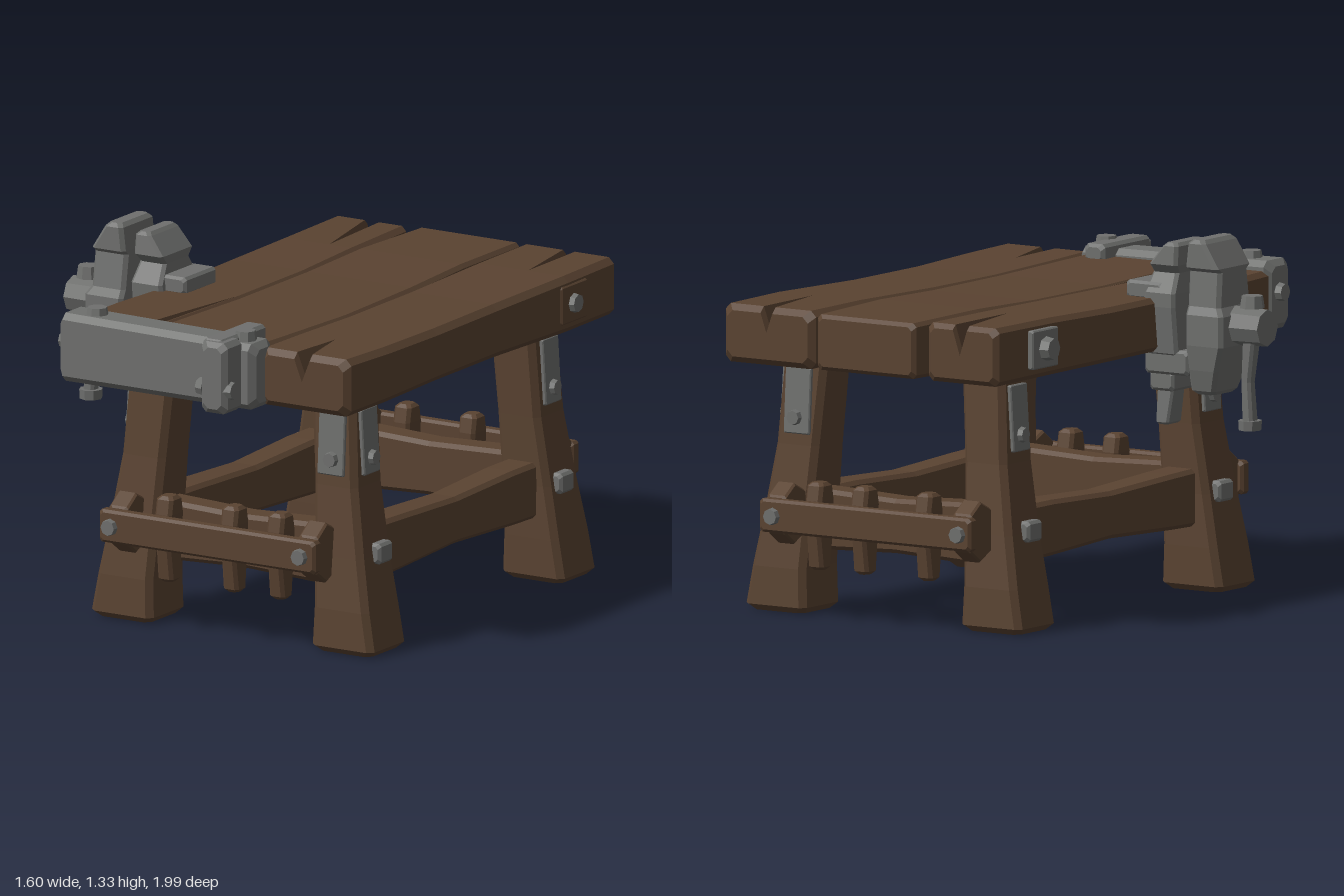
import * as THREE from 'three';

const wood = new THREE.MeshStandardMaterial({ color: 0x5a4331 });
wood.name = 'wood';
const metal = new THREE.MeshStandardMaterial({ color: 0x6f706e });
metal.name = 'metal';

// Maps (along, u, v) to x, y, z for a beam running along each axis
const place = {
  x: (t, u, v) => [t, u, v],
  y: (t, u, v) => [v, t, u],
  z: (t, u, v) => [u, v, t],
};

// Chamfered rectangle, with an optional V-shaped crack in its top edge
function ring([t, u0, u1, v0, v1, n, w, d], c, inset) {
  u0 += inset; u1 -= inset; v0 += inset; v1 -= inset;
  const pts = [[u0 + c, v0], [u1 - c, v0], [u1, v0 + c], [u1, v1 - c], [u1 - c, v1]];
  if (n !== undefined) pts.push([n + w, v1], [n, v1 - d], [n - w, v1]);
  pts.push([u0 + c, v1], [u0, v1 - c], [u0, v0 + c]);
  return { t, pts };
}

// Beam through sections [along, u0, u1, v0, v1, crack, crackWidth, crackDepth], all edges chamfered
function beam(name, mat, axis, sections, c = 0.015) {
  const first = sections[0], last = sections[sections.length - 1];
  const rings = [ring(first, c, c)];
  sections.forEach((s, i) => {
    const r = ring(s, c, 0);
    if (i === 0) r.t += c;
    if (i === sections.length - 1) r.t -= c;
    rings.push(r);
  });
  rings.push(ring(last, c, c));
  const pos = [];
  const put = (r, j) => pos.push(...place[axis](r.t, ...r.pts[j % r.pts.length]));
  for (let i = 0; i < rings.length - 1; i++) {
    const a = rings[i], b = rings[i + 1];
    for (let j = 0; j < a.pts.length; j++) {
      put(a, j); put(a, j + 1); put(b, j + 1);
      put(a, j); put(b, j + 1); put(b, j);
    }
  }
  const cap = (r, flip) => {
    const flat = r.pts.map((p) => new THREE.Vector2(...p));
    for (const [a, b, e] of THREE.ShapeUtils.triangulateShape(flat, [])) {
      put(r, a); put(r, flip ? e : b); put(r, flip ? b : e);
    }
  };
  cap(rings[0], true);
  cap(rings[rings.length - 1], false);
  const geo = new THREE.BufferGeometry();
  geo.setAttribute('position', new THREE.Float32BufferAttribute(pos, 3));
  geo.computeVertexNormals();
  const mesh = new THREE.Mesh(geo, mat);
  mesh.name = name;
  return mesh;
}

// Chamfered block from its limits
function block(name, mat, x0, x1, y0, y1, z0, z1, c = 0.01) {
  const [a, b] = z0 < z1 ? [z0, z1] : [z1, z0];
  return beam(name, mat, 'z', [[a, x0, x1, y0, y1], [b, x0, x1, y0, y1]], c);
}

// Faceted stud centred at a point, its narrow end facing dir
function stud(name, at, dir, r = 0.03, h = 0.03, sides = 8, taper = 0.85) {
  const geo = new THREE.CylinderGeometry(r * taper, r, h, sides).toNonIndexed();
  geo.computeVertexNormals();
  const mesh = new THREE.Mesh(geo, metal);
  mesh.position.set(...at);
  mesh.quaternion.setFromUnitVectors(new THREE.Vector3(0, 1, 0), new THREE.Vector3(...dir));
  mesh.name = name;
  return mesh;
}

function tabletop() {
  const g = new THREE.Group();
  g.name = 'tabletop';
  // x limits, y limits, then crack position, half width and depth
  g.add(beam('leftPlank', wood, 'z', [
    [-0.97, -0.41, -0.105, 0.91, 1.12, -0.25, 0.03, 0.09],
    [-0.6, -0.405, -0.095, 0.912, 1.117, -0.205, 0, 0],
    [-0.25, -0.41, -0.08, 0.915, 1.11, -0.2, 0, 0],
    [0.18, -0.4, -0.08, 0.915, 1.108, -0.1, 0, 0],
    [0.5, -0.41, -0.075, 0.912, 1.115, -0.112, 0.014, 0.04],
    [0.78, -0.4, -0.075, 0.91, 1.12, -0.12, 0.024, 0.08]], 0.018));
  g.add(beam('middlePlank', wood, 'z', [
    [-1, -0.075, 0.35, 0.915, 1.115],
    [-0.6, -0.085, 0.362, 0.91, 1.12],
    [-0.25, -0.085, 0.372, 0.915, 1.11],
    [0.2, -0.085, 0.385, 0.915, 1.108],
    [0.78, -0.085, 0.38, 0.91, 1.12]], 0.014));
  g.add(beam('rightPlank', wood, 'z', [
    [-0.99, 0.37, 0.76, 0.91, 1.12, 0.57, 0.025, 0.07],
    [-0.65, 0.375, 0.77, 0.912, 1.12, 0.6, 0, 0],
    [-0.2, 0.375, 0.755, 0.915, 1.11, 0.6, 0, 0],
    [0.2, 0.376, 0.76, 0.915, 1.108, 0.56, 0, 0],
    [0.54, 0.378, 0.77, 0.912, 1.115, 0.545, 0, 0],
    [0.8, 0.385, 0.765, 0.91, 1.12, 0.57, 0.032, 0.08]], 0.022));
  // Side plates with bolts
  g.add(block('rightPlate', wood, 0.75, 0.775, 0.95, 1.09, -0.77, -0.6, 0.005));
  g.add(stud('rightPlateBolt', [0.78, 1.02, -0.68], [1, 0, 0], 0.038, 0.03));
  g.add(block('leftPlate', metal, -0.43, -0.4, 0.95, 1.09, -0.77, -0.61, 0.005));
  g.add(stud('leftPlateBolt', [-0.445, 1.02, -0.69], [-1, 0, 0], 0.045, 0.04));
  return g;
}

const CX = 0.185, CZ = -0.08;

function legs() {
  const g = new THREE.Group();
  g.name = 'legs';
  // height, outer and inner z offset, outer and inner x offset
  const profile = [
    [0, 0.75, 0.51, 0.595, 0.335], [0.16, 0.745, 0.51, 0.57, 0.34], [0.35, 0.725, 0.515, 0.535, 0.33],
    [0.6, 0.7, 0.51, 0.495, 0.315], [0.93, 0.68, 0.5, 0.475, 0.29]];
  const span = (c, s, a, b) => [c + s * a, c + s * b].sort((p, q) => p - q);
  for (const sx of [-1, 1]) for (const sz of [-1, 1]) {
    g.add(beam('leg', wood, 'y', profile.map(([y, zo, zi, xo, xi]) =>
      [y, ...span(CZ, sz, zo, zi), ...span(CX, sx, xo, xi)]), 0.022));
    // Outer side plate, its bolt and the stretcher block
    const z = CZ + sz * 0.6;
    const plate = block('sidePlate', metal, -0.012, 0.012, -0.12, 0.12, -0.052, 0.052, 0.004);
    plate.position.set(CX + sx * 0.487, 0.76, z);
    plate.rotation.z = sx * 0.06;
    g.add(plate, stud('sidePlateBolt', [CX + sx * 0.508, 0.7, z], [sx, 0, 0], 0.03, 0.028));
    const [b0, b1] = span(CX, sx, 0.515, 0.565);
    g.add(block('stretcherBlock', metal, b0, b1, 0.32, 0.395, z - 0.045, z + 0.045));
    // Front and back plates on the right legs
    if (sx > 0) {
      const facing = block('endPlate', metal, -0.055, 0.055, -0.12, 0.12, -0.012, 0.012, 0.004);
      facing.position.set(0.58, 0.76, CZ + sz * 0.691);
      facing.rotation.x = -sz * 0.06;
      g.add(facing, stud('endPlateBolt', [0.585, 0.7, CZ + sz * 0.712], [0, 0, sz], 0.03, 0.028));
    }
  }
  // Stretchers joining the legs
  for (const s of [-1, 1]) {
    const x = CX + s * 0.42, z = CZ + s * 0.62;
    g.add(beam('sideStretcher', wood, 'z', [
      [-0.66, x - 0.065, x + 0.065, 0.23, 0.435], [-0.45, x - 0.065, x + 0.065, 0.235, 0.435],
      [-0.08, x - 0.06, x + 0.06, 0.25, 0.42], [0.3, x - 0.065, x + 0.065, 0.235, 0.435],
      [0.5, x - 0.065, x + 0.065, 0.23, 0.44]]));
    g.add(beam('endStretcher', wood, 'x', [
      [-0.22, 0.225, 0.45, z - 0.06, z + 0.06], [0.18, 0.24, 0.435, z - 0.055, z + 0.055],
      [0.6, 0.225, 0.45, z - 0.06, z + 0.06]]));
  }
  return g;
}

// Peg rack at the front (s = 1) or back (s = -1)
function rack(s) {
  const g = new THREE.Group();
  g.name = s > 0 ? 'frontRack' : 'backRack';
  const z = (o) => -0.1 + s * o;
  g.add(block('rackBoard', wood, -0.3, 0.61, 0.31, 0.43, z(0.83), z(0.88), 0.01));
  for (const x of [-0.24, 0.56]) {
    const taper = [[0.71, 0.08], [0.78, 0.11], [0.845, 0.07]].map(([o, h]) =>
      [z(o), x - 0.04, x + 0.04, 0.37 - h, 0.37 + h]);
    g.add(beam('rackSpacer', wood, 'z', s > 0 ? taper : taper.reverse(), 0.008));
    g.add(stud('rackBolt', [x - 0.01, 0.37, z(0.885)], [0, 0, s], 0.033, 0.03));
  }
  for (const x of [-0.06, 0.215, 0.41]) {
    const [a, b] = [z(0.74), z(0.835)].sort((p, q) => p - q);
    g.add(beam('peg', wood, 'y', [
      [0.18, a + 0.015, b - 0.015, x - 0.032, x + 0.032], [0.31, a, b, x - 0.03, x + 0.03],
      [0.43, a, b, x - 0.035, x + 0.035], [0.495, a + 0.01, b - 0.01, x - 0.035, x + 0.035]], 0.012));
  }
  return g;
}

// Long clamp across the front edge
function frontClamp() {
  const g = new THREE.Group();
  g.name = 'frontClamp';
  g.add(beam('clampBar', metal, 'x', [[-0.41, 0.905, 1.155, 0.735, 0.88], [0.415, 0.905, 1.145, 0.735, 0.88]], 0.022));
  g.add(block('clampBracket', metal, 0.255, 0.365, 0.905, 1.165, 0.86, 0.985, 0.018));
  g.add(block('clampStrap', metal, 0.25, 0.335, 1.1, 1.17, 0.66, 0.96, 0.012));
  for (const s of [-1, 1])
    g.add(stud('bracketBolt', [0.305 + s * 0.06, 0.99, 0.945], [s, 0, 0], 0.036, 0.03));
  g.add(stud('topBolt', [-0.285, 1.162, 0.81], [0, 1, 0], 0.042, 0.035));
  g.add(stud('topBolt', [0.34, 1.16, 0.81], [0, 1, 0], 0.042, 0.04));
  g.add(stud('endBolt', [-0.42, 1.04, 0.805], [-1, 0, 0], 0.035, 0.03));
  return g;
}

// Jawed vise on the right edge of the bench
function sideVise() {
  const g = new THREE.Group();
  g.name = 'sideVise';
  g.add(beam('outerJaw', metal, 'y', [
    [0.77, 0.08, 0.24, -0.625, -0.52], [0.86, 0.06, 0.26, -0.65, -0.52], [0.95, 0.045, 0.28, -0.68, -0.52],
    [1.06, 0.045, 0.28, -0.68, -0.52], [1.09, 0.06, 0.265, -0.66, -0.52], [1.215, 0.07, 0.245, -0.66, -0.52],
    [1.23, 0.045, 0.265, -0.66, -0.52], [1.33, 0.045, 0.265, -0.605, -0.53]], 0.014));
  g.add(beam('innerJaw', metal, 'y', [
    [0.9, 0.05, 0.26, -0.485, -0.35], [1.08, 0.03, 0.275, -0.485, -0.35], [1.13, 0.03, 0.28, -0.485, -0.355],
    [1.2, 0.07, 0.235, -0.475, -0.365], [1.23, 0.045, 0.26, -0.485, -0.365], [1.31, 0.05, 0.25, -0.485, -0.42]], 0.012));
  g.add(block('basePlate', metal, -0.43, -0.27, 1.1, 1.165, 0.04, 0.25));
  g.add(block('guideBar', metal, -0.53, -0.34, 0.835, 0.925, 0.055, 0.25));
  g.add(block('clampBlock', metal, -0.445, -0.34, 0.77, 0.845, 0.085, 0.225));
  g.add(beam('clampFoot', metal, 'y', [[0.645, 0.11, 0.2, -0.405, -0.35], [0.78, 0.12, 0.2, -0.42, -0.35]], 0.008));
  // Screw, its cap and the hanging handle
  g.add(stud('screw', [-0.73, 1.02, 0.16], [-1, 0, 0], 0.07, 0.14, 8, 0.95));
  g.add(stud('screwCap', [-0.735, 1.11, 0.16], [0, 1, 0], 0.045, 0.045, 8));
  g.add(beam('handle', metal, 'y', [
    [0.66, 0.14, 0.19, -0.745, -0.7], [0.82, 0.14, 0.185, -0.735, -0.695], [0.98, 0.135, 0.19, -0.755, -0.705]], 0.01));
  g.add(stud('handleEnd', [-0.722, 0.665, 0.165], [0, -1, 0], 0.043, 0.035, 8, 0.95));
  return g;
}

export function createModel() {
  const model = new THREE.Group();
  model.name = 'workbench';
  model.add(tabletop(), legs(), rack(1), rack(-1), frontClamp(), sideVise());
  return model;
}
